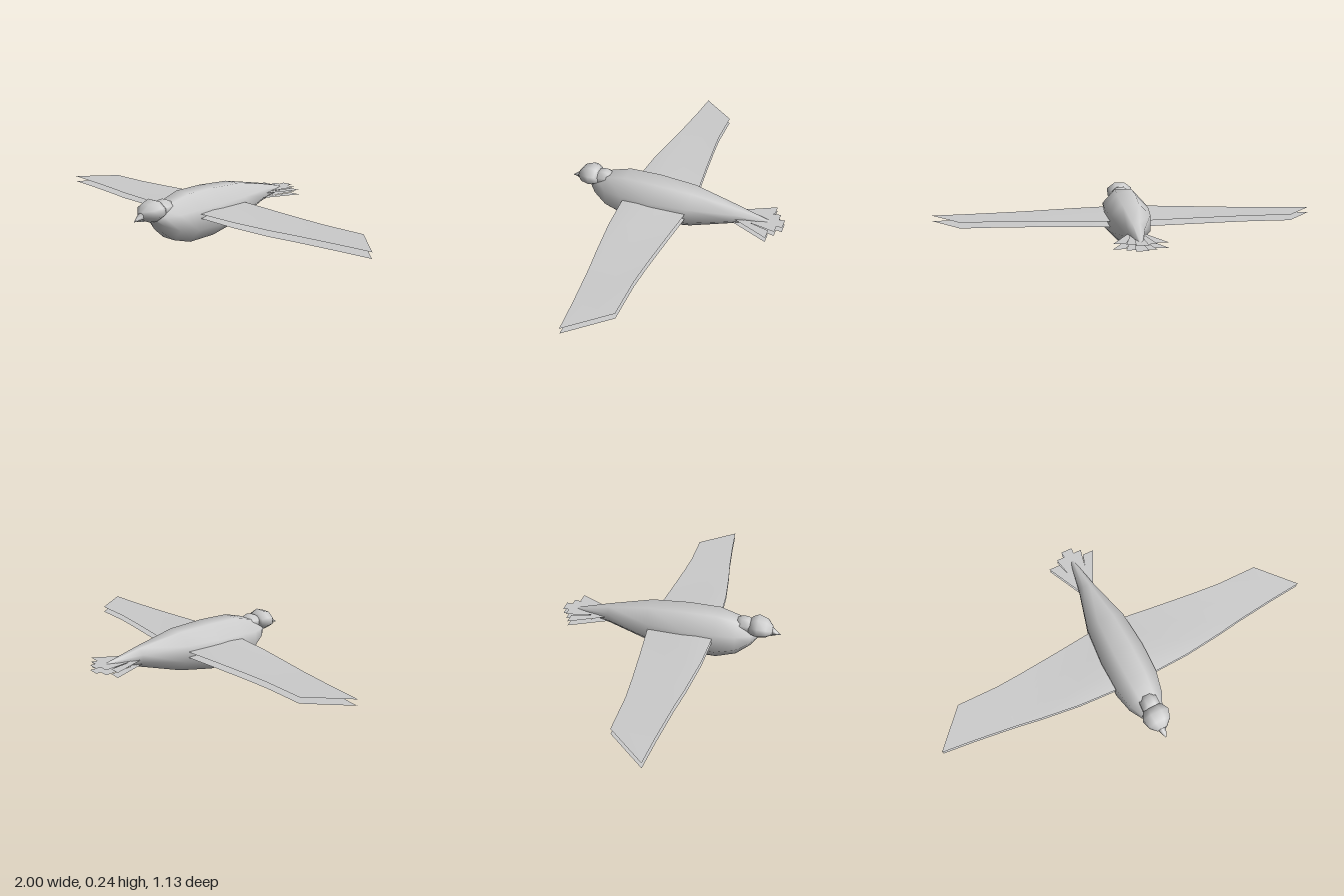
import * as THREE from 'three';

const grey = new THREE.MeshStandardMaterial({ color: 0xcccccc });
const thin = new THREE.MeshStandardMaterial({ color: 0xcccccc, side: THREE.DoubleSide });

function surface(positions, index, name, material) {
  const g = new THREE.BufferGeometry();
  g.setAttribute('position', new THREE.Float32BufferAttribute(positions, 3));
  g.setIndex(index);
  g.computeVertexNormals();
  const mesh = new THREE.Mesh(g, material);
  mesh.name = name;
  return mesh;
}

// Octagonal loft through rings [z, bottom, top, halfWidth], listed front to back, capped at both ends
function loft(name, rings, sides = 8) {
  const pos = [], index = [], k = 1 / Math.cos(Math.PI / sides);
  for (const [z, y0, y1, w] of rings) {
    for (let i = 0; i < sides; i++) {
      const a = ((i + 0.5) / sides) * Math.PI * 2;
      pos.push(Math.cos(a) * w * k, (y0 + y1) / 2 + Math.sin(a) * k * (y1 - y0) / 2, z);
    }
  }
  for (let r = 0; r < rings.length - 1; r++) {
    for (let i = 0; i < sides; i++) {
      const a = r * sides + i, b = r * sides + (i + 1) % sides;
      index.push(a, a + sides, b, b, a + sides, b + sides);
    }
  }
  const last = (rings.length - 1) * sides;
  for (let i = 1; i < sides - 1; i++) {
    index.push(0, i, i + 1, last, last + i + 1, last + i);
  }
  return surface(pos, index, name, grey);
}

// Wing sheet: stations [x, leadingZ, trailingZ, camber], arched at the root and flat at the tip
function wingSheet(name, side, y, rise) {
  const stations = [
    [0.06, 0.24, -0.095, 1], [0.12, 0.24, -0.09, 0.95], [0.3, 0.23, -0.07, 0.45],
    [0.5, 0.205, -0.05, 0], [0.63, 0.185, -0.04, 0], [0.84, 0.16, -0.04, 0], [1, 0.145, 0.145, 0],
  ];
  const chord = [[0, 0.6], [0.25, 1], [0.6, 0.5], [1, 0]];
  const pos = [], index = [], n = chord.length;
  for (const [x, lead, trail, camber] of stations) {
    for (const [t, h] of chord) pos.push(side * x, y + rise * camber * h, lead + (trail - lead) * t);
  }
  for (let s = 0; s < stations.length - 1; s++) {
    for (let c = 0; c < n - 1; c++) {
      const a = s * n + c, b = a + n;
      if (side > 0) index.push(a, b, a + 1, b, b + 1, a + 1);
      else index.push(a, a + 1, b, b, a + 1, b + 1);
    }
  }
  return surface(pos, index, name, thin);
}

// Flat tail feather from root to a square tip
function feather(name, y, [rx0, rx1, rz], [tx0, tx1, tz], side) {
  const pos = [side * rx0, y, rz, side * rx1, y, rz, side * tx1, y, tz, side * tx0, y, tz];
  return surface(pos, side > 0 ? [0, 1, 2, 0, 2, 3] : [0, 2, 1, 0, 3, 2], name, thin);
}

export function createModel() {
  const bird = new THREE.Group();
  bird.name = 'bird';

  bird.add(loft('body', [
    [0.46, 0.14, 0.165, 0.02], [0.42, 0.087, 0.19, 0.055], [0.35, 0.03, 0.217, 0.088],
    [0.25, 0, 0.242, 0.11], [0.09, 0, 0.242, 0.115], [-0.1, 0.03, 0.23, 0.1],
    [-0.32, 0.09, 0.185, 0.043], [-0.49, 0.117, 0.142, 0.012], [-0.517, 0.129, 0.132, 0.003],
  ]));
  bird.add(loft('neck', [
    [0.43, 0.16, 0.212, 0.045], [0.4, 0.15, 0.228, 0.045],
    [0.37, 0.15, 0.23, 0.045], [0.34, 0.16, 0.215, 0.042],
  ]));
  bird.add(loft('head', [
    [0.522, 0.16, 0.198, 0.025], [0.493, 0.147, 0.23, 0.055], [0.45, 0.143, 0.243, 0.068],
    [0.422, 0.147, 0.232, 0.055], [0.405, 0.16, 0.215, 0.045],
  ]));

  // Beak halves
  bird.add(loft('upperBeak', [[0.563, 0.158, 0.161, 0.002], [0.54, 0.16, 0.178, 0.012], [0.515, 0.163, 0.195, 0.022]], 6));
  bird.add(loft('lowerBeak', [[0.545, 0.156, 0.159, 0.003], [0.515, 0.15, 0.166, 0.015]], 6));

  // Wings and tail, each in two stacked layers
  const layers = [['upper', 0.143, 0.013, 0.138], ['lower', 0.114, 0.026, 0.113]];
  for (const [layer, wingY, rise, tailY] of layers) {
    for (const side of [1, -1]) {
      const where = side > 0 ? 'Left' : 'Right';
      bird.add(wingSheet(`${layer}${where}Wing`, side, wingY, rise));
      bird.add(feather(`${layer}${where}MiddleFeather`, tailY - 0.002, [0.005, 0.025, -0.33], [0.012, 0.07, -0.54], side));
      bird.add(feather(`${layer}${where}OuterFeather`, tailY - 0.004, [0.015, 0.035, -0.32], [0.068, 0.127, -0.51], side));
    }
    bird.add(feather(`${layer}CentreFeather`, tailY, [-0.012, 0.012, -0.33], [-0.03, 0.03, -0.57], 1));
  }
  return bird;
}
